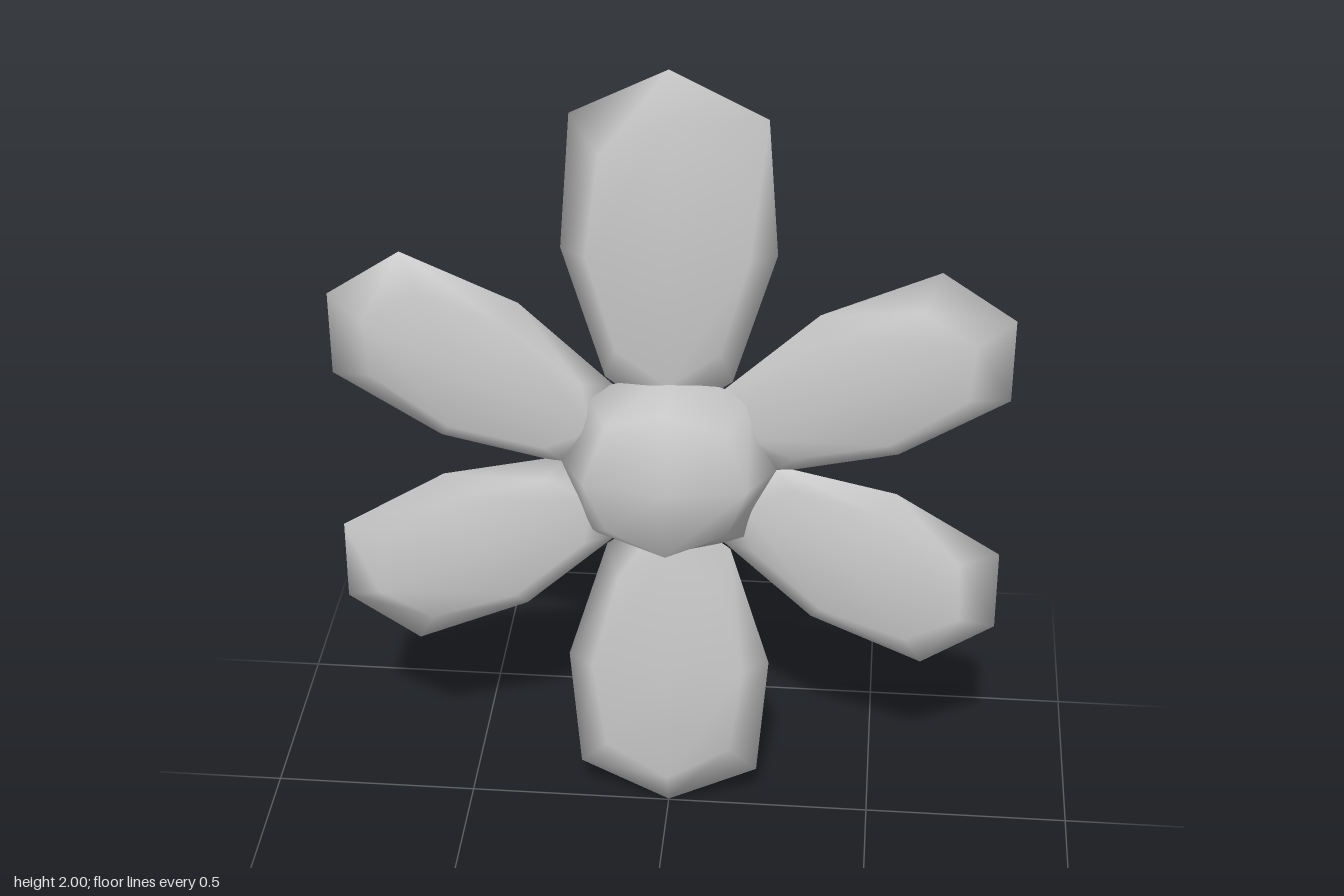
import * as THREE from 'three';
import { mergeVertices } from 'three/addons/utils/BufferGeometryUtils.js';

const material = new THREE.MeshStandardMaterial({ color: 0xcccccc });

// A box cage rounded by one smoothing step; cage(u, v, w) maps the -1..1 cube into space.
function roundedCage(cage) {
  let geo = new THREE.BoxGeometry(2, 2, 2, 2, 2, 2);
  geo.deleteAttribute('uv');
  geo.deleteAttribute('normal');
  geo = mergeVertices(geo);
  const pos = geo.attributes.position;
  const p = new THREE.Vector3();
  for (let i = 0; i < pos.count; i++) {
    p.fromBufferAttribute(pos, i).round();
    const c = p.toArray();
    const axes = [0, 1, 2].filter((a) => c[a] !== 0);
    const average = (points) => points
      .reduce((sum, q) => sum.add(cage(...q)), new THREE.Vector3())
      .divideScalar(points.length);
    // Centres of the faces touching this vertex
    const faces = average(axes.map((a) => c.map((v, k) => (k === a ? v : 0))));
    let out = faces;
    if (axes.length === 2) out = cage(...c).lerp(faces, 0.5);
    if (axes.length === 3) {
      const edges = average(axes.map((a) => c.map((v, k) => (k === a ? 0 : v))));
      out = edges.lerp(faces, 1 / 3);
    }
    pos.setXYZ(i, out.x, out.y, out.z);
  }
  geo.computeVertexNormals();
  return geo;
}

export function createModel() {
  const flower = new THREE.Group();
  flower.name = 'flower';

  // Domed centre
  const hub = new THREE.Mesh(
    roundedCage((u, v, w) => new THREE.Vector3(u * 0.255, v * 0.255, w * 0.143)), material);
  hub.name = 'flowerCentre';
  hub.position.y = 1;
  flower.add(hub);

  // Petal pointing up, wider and thicker toward the tip
  const petalGeo = roundedCage((u, v, w) => new THREE.Vector3(
    u * (0.245 + 0.0725 * v),
    0.56 + 0.44 * v,
    w * (0.06 + 0.02 * v)));

  const addPetal = (name, degrees, width, length, depth) => {
    const petal = new THREE.Mesh(petalGeo, material);
    petal.name = name;
    petal.position.set(0, 1, -0.003);
    petal.rotation.z = THREE.MathUtils.degToRad(degrees);
    petal.scale.set(width, length, depth);
    flower.add(petal);
  };

  // Two long upright petals and four smaller side petals
  addPetal('topPetal', 0, 1, 1, 1);
  addPetal('bottomPetal', 180, 1, 1, 1);
  for (const [side, sign] of [['Left', -1], ['Right', 1]]) {
    addPetal(`upper${side}Petal`, sign * 62, 0.83, 0.89, 0.85);
    addPetal(`lower${side}Petal`, sign * 118, 0.83, 0.89, 0.85);
  }
  return flower;
}
